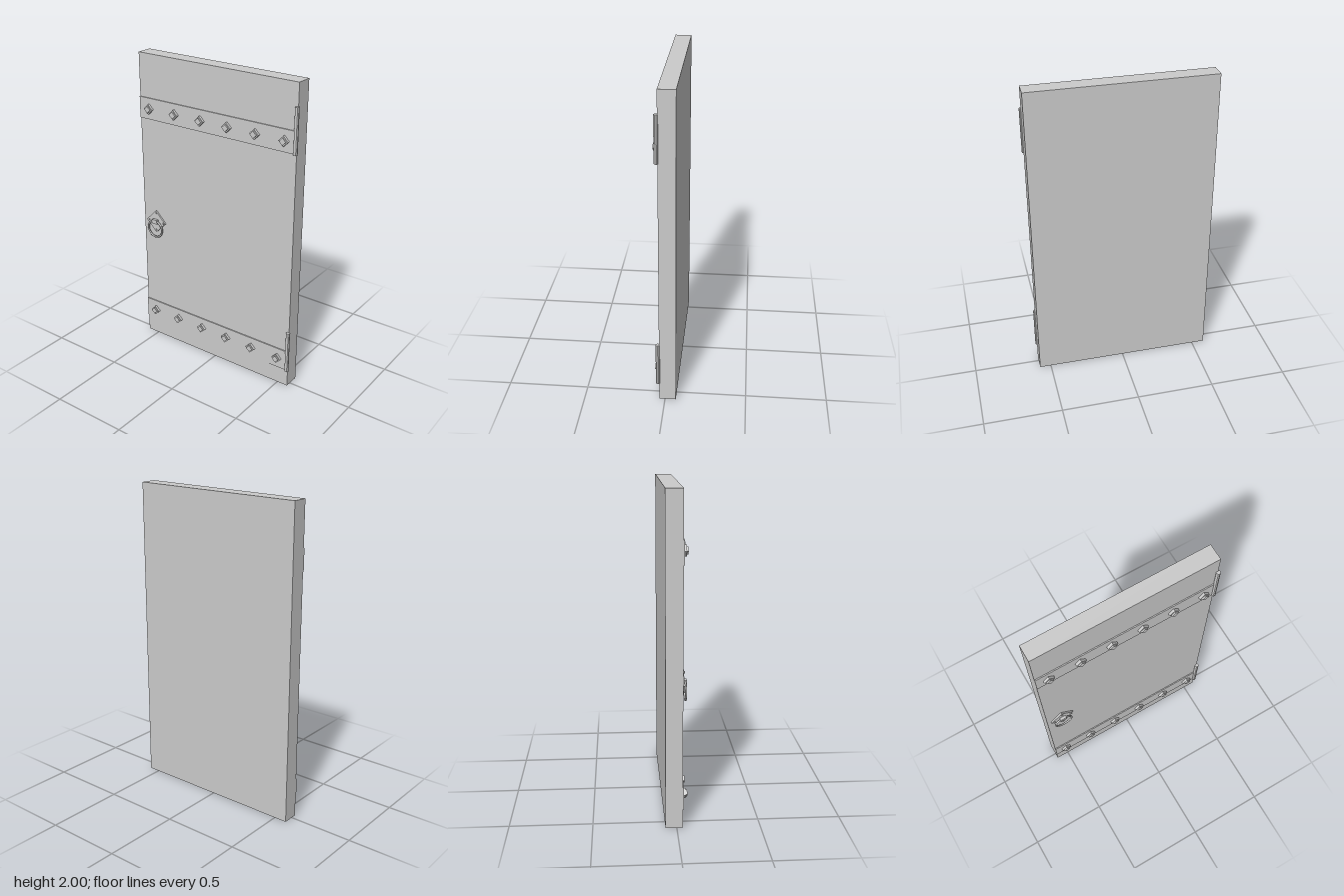
import * as THREE from 'three';

const material = new THREE.MeshStandardMaterial({ color: 0xcccccc, flatShading: true });
const smooth = new THREE.MeshStandardMaterial({ color: 0xcccccc });

function add(parent, name, geometry, x, y, z, mat = material) {
  const mesh = new THREE.Mesh(geometry, mat);
  mesh.name = name;
  mesh.position.set(x, y, z);
  parent.add(mesh);
  return mesh;
}

// Box turned 45 degrees, given by its half diagonal and its back and front z
function addDiamond(parent, name, halfDiagonal, x, y, back, front) {
  const side = halfDiagonal * Math.SQRT2;
  const geometry = new THREE.BoxGeometry(side, side, front - back);
  add(parent, name, geometry, x, y, (back + front) / 2).rotation.z = Math.PI / 4;
}

export function createModel() {
  const door = new THREE.Group();
  door.name = 'door';
  const left = -0.583, right = 0.573, back = -0.067, face = 0.0355, strapFace = 0.0425;
  const middle = (left + right) / 2;

  // Door slab
  add(door, 'slab', new THREE.BoxGeometry(right - left, 2, face - back), middle, 1, (face + back) / 2);

  // Iron straps with square studs and a hinge barrel at the end
  for (const y of [1.65, 0.188]) {
    const band = new THREE.Group();
    band.name = y > 1 ? 'upperBand' : 'lowerBand';
    door.add(band);
    add(band, 'strap', new THREE.BoxGeometry(right - left, 0.138, strapFace - face), middle, y, (face + strapFace) / 2);
    for (let i = 0; i < 6; i++) {
      const x = -0.505 + i * 0.2;
      addDiamond(band, 'studBase', 0.033, x, y, strapFace, 0.058);
      addDiamond(band, 'studHead', 0.023, x, y, 0.058, 0.067);
    }
    add(band, 'hingeBarrel', new THREE.CylinderGeometry(0.013, 0.013, 0.282, 10), 0.57, y + 0.07, 0.043);
  }

  // Ring pull on a diamond plate with corner rivets
  const handle = new THREE.Group();
  handle.name = 'handle';
  handle.position.set(-0.48, 0.877, 0);
  door.add(handle);
  addDiamond(handle, 'plate', 0.078, 0, 0, face, 0.046);
  for (let i = 0; i < 4; i++) {
    const a = i * Math.PI / 2;
    const rivet = add(handle, 'rivet', new THREE.CylinderGeometry(0.007, 0.007, 0.007, 8),
      0.06 * Math.cos(a), 0.06 * Math.sin(a), 0.0485);
    rivet.rotation.x = Math.PI / 2;
  }
  add(handle, 'ringMount', new THREE.BoxGeometry(0.04, 0.028, 0.018), 0, 0.003, 0.054);
  add(handle, 'ring', new THREE.TorusGeometry(0.057, 0.006, 8, 32), 0, -0.05, 0.055, smooth);

  return door;
}
